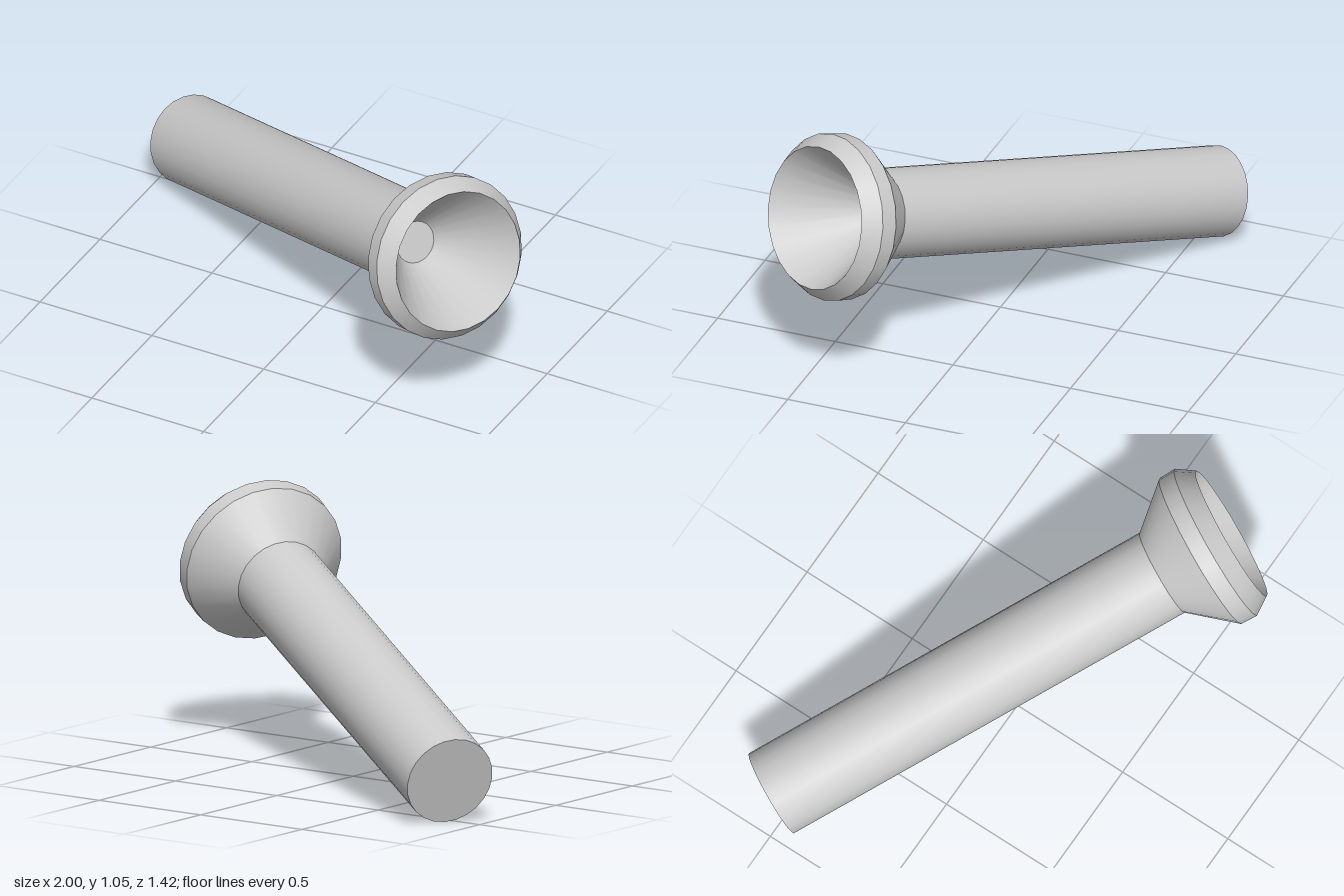
import * as THREE from 'three';

const SIDES = 24;
const material = new THREE.MeshStandardMaterial({ color: 0xcccccc });

// One band of revolution: smooth around, sharp at both ends
function band(name, a, b) {
  const profile = [new THREE.Vector2(...a), new THREE.Vector2(...b)];
  const mesh = new THREE.Mesh(new THREE.LatheGeometry(profile, SIDES), material);
  mesh.name = name;
  return mesh;
}

export function createModel() {
  const model = new THREE.Group();
  model.name = 'flaredTube';

  // Closed outline [radius, distance along axis], from end cap to cavity floor
  const outline = [
    [0, 0],
    [0.181, 0],
    [0.181, 1.78],
    [0.33, 1.955],
    [0.332, 2.025],
    [0.284, 2.095],
    [0.085, 1.76],
    [0, 1.76],
  ];
  const names = ['endCap', 'stem', 'headFlare', 'headBand', 'rimBevel', 'cavityWall', 'cavityFloor'];
  names.forEach((name, i) => model.add(band(name, outline[i], outline[i + 1])));

  // Lean the axis from the low back end up toward the front
  const axis = new THREE.Vector3(0.832, 0.2745, 0.4825).normalize();
  model.quaternion.setFromUnitVectors(new THREE.Vector3(0, 1, 0), axis);
  model.position.set(-0.9, 0.174, -0.562);

  const root = new THREE.Group();
  root.add(model);
  return root;
}
